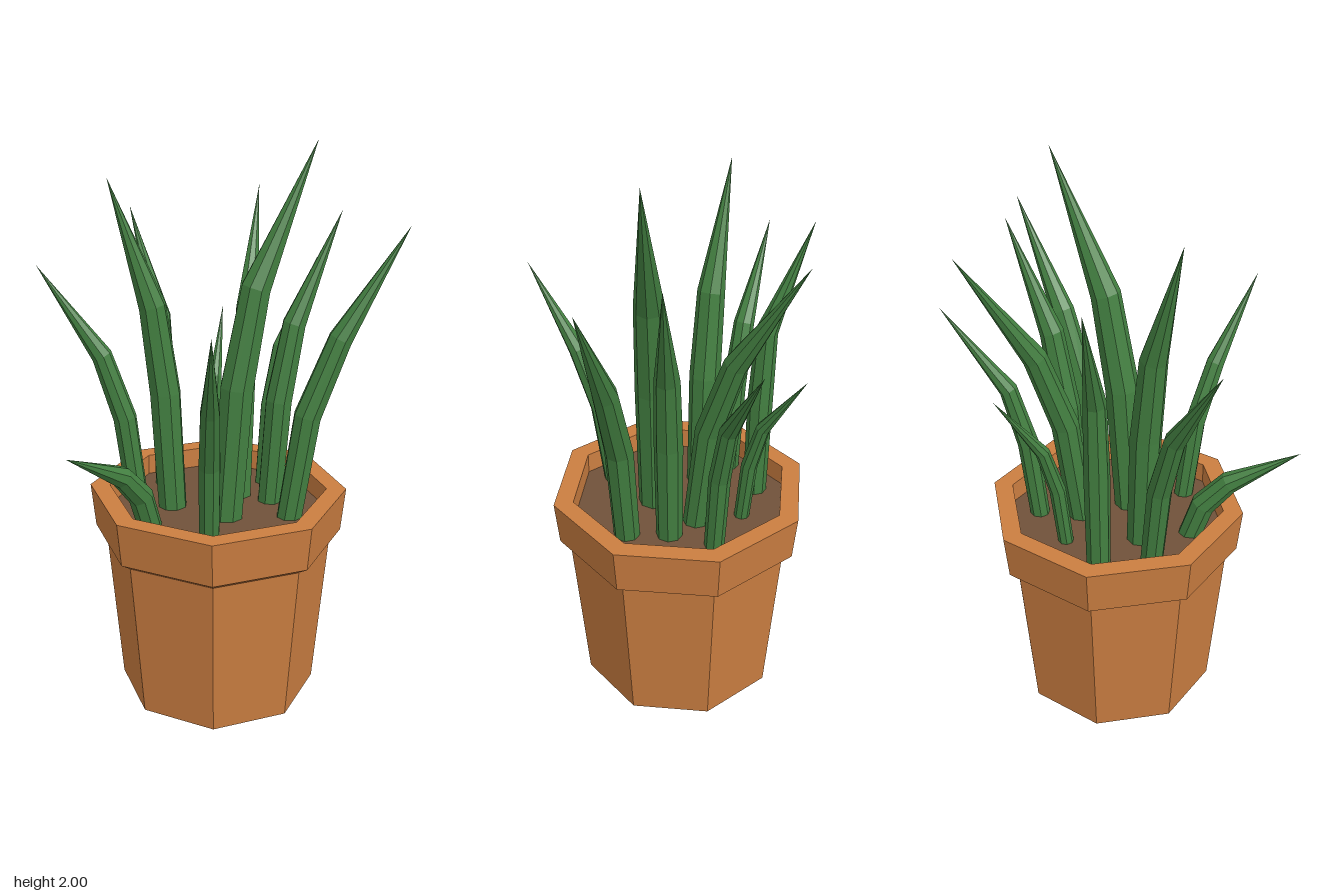
import * as THREE from 'three';

const mat = (name, color) => {
  const m = new THREE.MeshStandardMaterial({ color, flatShading: true });
  m.name = name;
  return m;
};

const SOIL_Y = 0.71;

// Leaf: tapering eight-sided tube, nearly upright, then bending out to a point.
function leafGeometry(x, z, tipX, tipY, tipZ, r, lean) {
  const sides = 8;
  const at = (out, up) => new THREE.Vector3(
    x + (tipX - x) * out, SOIL_Y - 0.02 + (tipY - SOIL_Y + 0.02) * up, z + (tipZ - z) * out);
  const centres = [at(0, 0), at(lean * 0.35, 0.38), at(lean, 0.64), at(1, 1)];
  const radii = [r, r * 1.06, r * 0.92, 0];
  const pos = [], index = [];
  centres.forEach((c, i) => {
    const t = centres[Math.min(i + 1, 3)].clone().sub(centres[Math.max(i - 1, 0)]).normalize();
    const u = new THREE.Vector3(1, 0, 0).addScaledVector(t, -t.x).normalize();
    const v = u.clone().cross(t);
    for (let k = 0; k < sides; k++) {
      const a = (k + 0.5) / sides * Math.PI * 2;
      const p = c.clone().addScaledVector(u, Math.cos(a) * radii[i]).addScaledVector(v, Math.sin(a) * radii[i]);
      pos.push(p.x, p.y, p.z);
      if (i === 3) continue;
      const n = (k + 1) % sides, b = i * sides;
      index.push(b + k, b + sides + k, b + n);
      if (i < 2) index.push(b + n, b + sides + k, b + sides + n);
    }
  });
  const g = new THREE.BufferGeometry();
  g.setAttribute('position', new THREE.Float32BufferAttribute(pos, 3));
  g.setIndex(index);
  g.computeVertexNormals();
  return g;
}

export function createModel() {
  const group = new THREE.Group();
  group.name = 'pottedPlant';
  const terracotta = mat('terracotta', 0xcb7e41);
  const earth = mat('earth', 0x70523a);
  const green = mat('leafGreen', 0x438041);
  const add = (name, geometry, material, z = 0) => {
    const mesh = new THREE.Mesh(geometry, material);
    mesh.name = name;
    mesh.position.z = z;
    group.add(mesh);
  };

  // Octagonal pot with a flared rim
  const profile = [[0, 0], [0.36, 0], [0.408, 0.6], [0.445, 0.625], [0.46, 0.785], [0.39, 0.785], [0.39, 0.69]]
    .map(([r, y]) => new THREE.Vector2(r, y));
  add('pot', new THREE.LatheGeometry(profile, 8).toNonIndexed(), terracotta, -0.035);

  // Soil surface
  add('soil', new THREE.CylinderGeometry(0.39, 0.39, 0.02, 8), earth, -0.035);
  group.children[1].position.y = SOIL_Y - 0.01;

  // Leaves: base x, z, tip x, y, z, radius, share of the lean at the bend
  [
    [-0.04, -0.31, -0.08, 1.52, -0.61, 0.035, 0.3],
    [-0.02, -0.16, -0.26, 1.78, -0.48, 0.046, 0.38],
    [-0.185, -0.175, -0.325, 1.33, -0.36, 0.027, 0.32],
    [-0.285, -0.035, -0.46, 1.73, -0.03, 0.042, 0.12],
    [-0.24, 0.14, -0.46, 1.58, 0.38, 0.04, 0.35],
    [-0.115, 0.08, -0.255, 1.88, 0.225, 0.052, 0.3],
    [-0.045, 0.24, -0.015, 1.07, 0.605, 0.042, 0.36],
    [0.19, 0.18, 0.425, 1.52, 0.385, 0.036, 0.42],
    [0.085, 0, 0.195, 2, -0.295, 0.057, 0.32],
    [0.23, -0.165, 0.44, 1.73, -0.49, 0.046, 0.42],
    [0.09, -0.21, 0.175, 1.75, -0.45, 0.046, 0.32],
  ].forEach((leaf, i) => add(`leaf${i + 1}`, leafGeometry(...leaf), green));

  return group;
}
